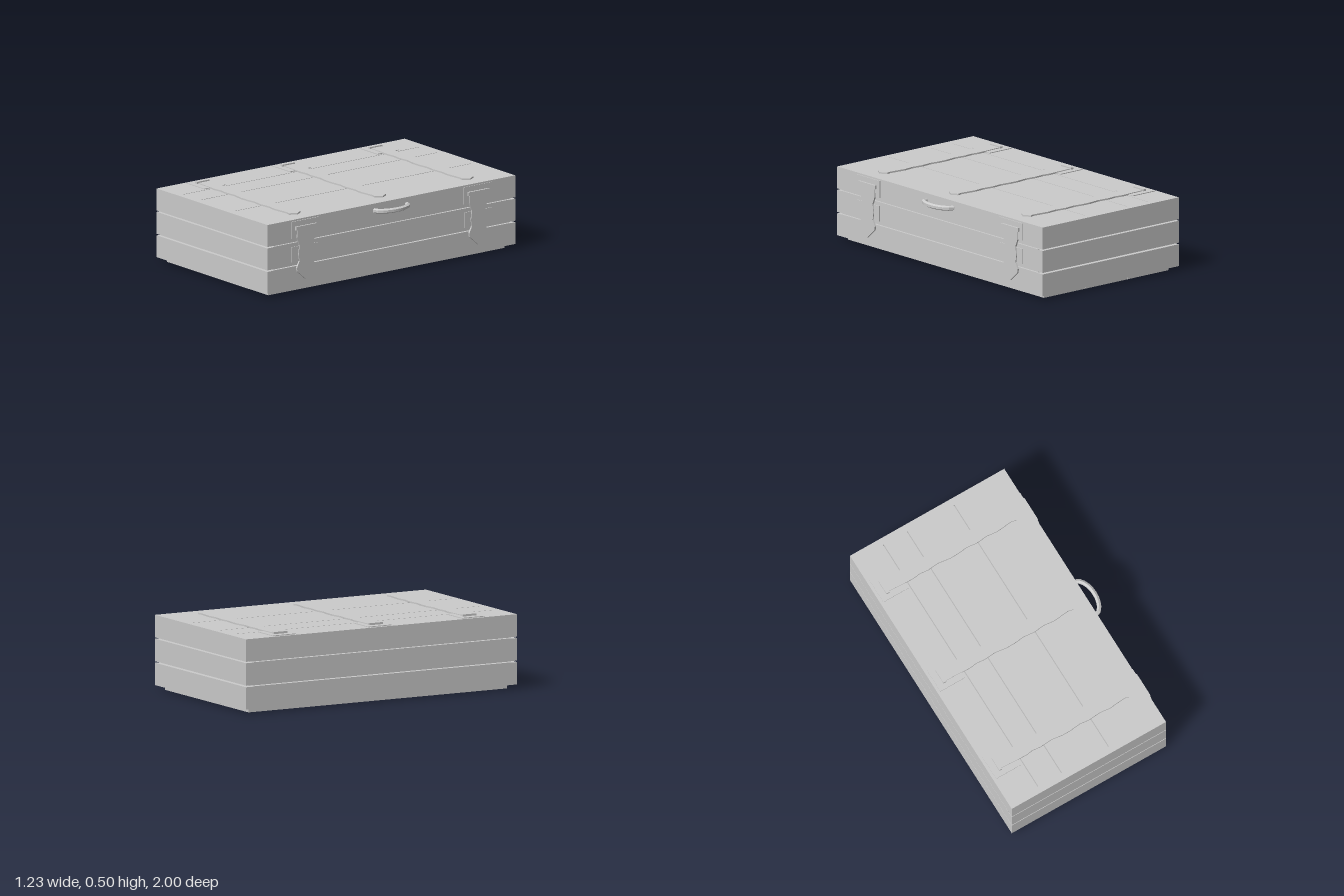
import * as THREE from 'three';

const material = new THREE.MeshStandardMaterial({ color: 0xcccccc, flatShading: true });

function add(parent, name, geometry) {
  const mesh = new THREE.Mesh(geometry, material);
  mesh.name = name;
  parent.add(mesh);
  return mesh;
}

// Box given by its limits on each axis
function slab(parent, name, [x0, x1], [y0, y1], [z0, z1]) {
  const mesh = add(parent, name, new THREE.BoxGeometry(x1 - x0, y1 - y0, z1 - z0));
  mesh.position.set((x0 + x1) / 2, (y0 + y1) / 2, (z0 + z1) / 2);
  return mesh;
}

// Hammered iron strap along +x with a pointed tip: edge = [distance, half width]
function strapGeometry(edge, tip, thickness) {
  const points = edge.map(([u, w]) => new THREE.Vector2(u, w));
  points.push(new THREE.Vector2(tip, 0));
  for (const [u, w] of [...edge].reverse()) points.push(new THREE.Vector2(u, -w));
  return new THREE.ExtrudeGeometry(new THREE.Shape(points), { depth: thickness, bevelEnabled: false });
}

const X0 = -0.615, X1 = 0.53, TOP = 0.483, WALL = 0.046;

function createBody(chest) {
  // Three courses of boards; the long boards fit between the end boards
  const courses = [[0.03, 0.174], [0.184, 0.329], [0.338, TOP]];
  courses.forEach(([y0, y1], i) => {
    for (const s of [-1, 1]) {
      const z = s < 0 ? [-1, -1 + WALL] : [1 - WALL, 1];
      slab(chest, s < 0 ? 'backBoard' : 'frontBoard', [X0, X1], [y0, y1], z);
    }
    const y = [i ? y0 - 0.002 : y0, i < 2 ? y1 + 0.002 : y1];
    slab(chest, 'rightLongBoard', [X0, X0 + WALL], y, [-1 + WALL, 1 - WALL]);
    slab(chest, 'leftLongBoard', [X1 - WALL, X1], y, [-1 + WALL, 1 - WALL]);
  });

  // Lid planks with narrow gaps, and floor planks standing below the walls
  const planks = (name, seams, y, gap) => {
    for (let i = 0; i + 1 < seams.length; i++) {
      const a = seams[i] + (i ? gap : 0);
      const b = seams[i + 1] - (i + 2 < seams.length ? gap : 0);
      slab(chest, name, [a, b], y, [-1 + WALL, 1 - WALL]);
    }
  };
  planks('lidPlank', [X0 + WALL, -0.394, -0.218, 0.13, X1 - WALL], [TOP - 0.035, TOP], 0.003);
  planks('floorPlank', [X0 + WALL, -0.22, 0.131, X1 - WALL - 0.004], [0.002, 0.05], 0.002);
}

function createHinge(chest, z) {
  const hinge = new THREE.Group();
  hinge.name = 'lidHinge';
  hinge.position.set(0, TOP, z);
  slab(hinge, 'hingePlate', [-0.595, -0.41], [0, 0.005], [-0.085, 0.085]);
  slab(hinge, 'hingePin', [-0.551, -0.53], [0, 0.018], [-0.05, 0.05]);
  const edge = [[-0.54, 0.04], [-0.405, 0.045], [-0.35, 0.047], [-0.3, 0.04], [-0.24, 0.046],
    [-0.16, 0.039], [-0.08, 0.05], [-0.02, 0.049], [0.05, 0.041], [0.12, 0.049], [0.2, 0.041],
    [0.27, 0.049], [0.34, 0.042], [0.385, 0.038], [0.415, 0.046]];
  add(hinge, 'hingeStrap', strapGeometry(edge, 0.443, 0.01)).rotation.x = -Math.PI / 2;
  chest.add(hinge);
}

function createLatch(chest, z) {
  const latch = new THREE.Group();
  latch.name = 'latch';
  latch.position.set(X1, 0, z);
  slab(latch, 'upperPlate', [0, 0.005], [0.36, 0.472], [-0.115, 0.115]);
  slab(latch, 'lowerPlate', [0, 0.005], [0.205, 0.305], [-0.11, 0.11]);
  slab(latch, 'latchBar', [0, 0.017], [0.413, 0.437], [-0.084, 0.084]);
  // Strap hangs down from the bar
  const edge = [[-0.425, 0.07], [-0.36, 0.072], [-0.31, 0.052], [-0.25, 0.06],
    [-0.205, 0.053], [-0.165, 0.074], [-0.14, 0.07]];
  const strap = add(latch, 'latchStrap', strapGeometry(edge, -0.078, 0.011));
  strap.rotation.set(0, Math.PI / 2, -Math.PI / 2, 'YXZ');
  chest.add(latch);
}

function createHandle(chest) {
  // Bowed carrying handle
  const points = [];
  for (let i = 0; i <= 8; i++) {
    const a = -Math.PI / 2 + (i / 8) * Math.PI;
    points.push(new THREE.Vector3(X1 - 0.005 + 0.072 * Math.cos(a), 0.436, 0.004 + 0.132 * Math.sin(a)));
  }
  const curve = new THREE.CatmullRomCurve3(points);
  add(chest, 'handle', new THREE.TubeGeometry(curve, 10, 0.016, 6, false));
}

export function createModel() {
  const chest = new THREE.Group();
  chest.name = 'chest';
  createBody(chest);
  for (const z of [-0.705, 0, 0.69]) createHinge(chest, z);
  for (const z of [-0.695, 0.695]) createLatch(chest, z);
  createHandle(chest);
  return chest;
}
